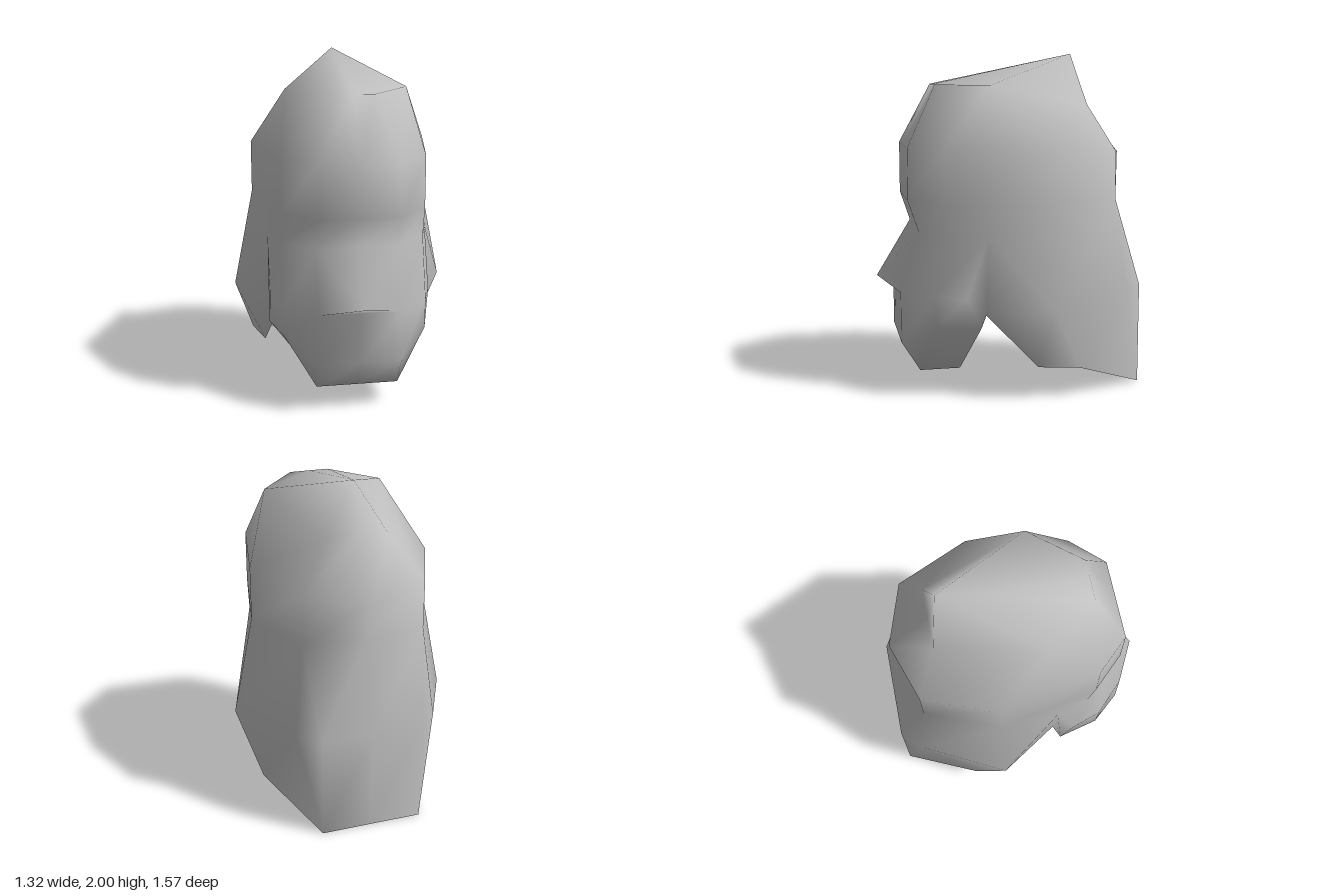
import * as THREE from 'three';

// Corner points of one half (x >= 0) of the helmet shell, row by row from front to back.
const P = {
  // crown
  peak: [0, 2, -0.42],
  a0: [0, 1.82, 0.43], b0: [0.12, 1.82, 0.43], c0: [0.36, 1.82, 0.14], e0: [0.18, 1.7, -0.48], f0: [0, 1.7, -0.48],
  // brow
  a1: [0, 1.46, 0.61], b1: [0.24, 1.46, 0.61], c1: [0.42, 1.46, 0.42], d1: [0.54, 1.46, -0.18], e1: [0.36, 1.43, -0.61], f1: [0, 1.4, -0.73],
  // below the brow
  a2: [0, 1.15, 0.61], b2: [0.24, 1.15, 0.61], c2: [0.42, 1.15, 0.42], d2: [0.54, 1.15, -0.18], e2: [0.36, 1.15, -0.61], f2: [0, 1.15, -0.66],
  // top of the mouth guard
  a3: [0, 0.97, 0.55], b3: [0.24, 0.97, 0.55], c3: [0.42, 0.97, 0.38], d3: [0.48, 0.97, 0.18],
  // mouth guard
  tip: [0, 0.67, 0.78], a4: [0, 0.61, 0.66], b4: [0.24, 0.61, 0.66], c4: [0.42, 0.61, 0.48], d4: [0.48, 0.61, 0.3],
  a5: [0, 0.31, 0.66], b5: [0.24, 0.31, 0.66], c5: [0.42, 0.43, 0.47], d5: [0.48, 0.43, 0.22],
  // chin
  a6: [0, 0.13, 0.55], b6: [0.24, 0.13, 0.55], c6: [0.24, 0.13, 0.31], d6: [0, 0.13, 0.31],
  // neck guard
  notch: [0.42, 0.49, 0.18], wing: [0.66, 0.55, -0.18], g: [0.48, 0.18, -0.12], h: [0.54, 0.18, -0.36],
  e4: [0.42, 0.61, -0.67], k4: [0.3, 0.61, -0.79], f4: [0, 0.61, -0.79], k5: [0.3, 0, -0.79], f5: [0, 0, -0.79],
};

// Faces of one half, each listed clockwise as seen from outside.
const FACES = [
  // crown
  'peak c0 b0 a0', 'peak e0 c0', 'peak f0 e0',
  'a0 b0 b1 a1', 'b0 c0 c1 b1', 'c0 d1 c1', 'c0 e0 e1 d1', 'e0 f0 f1 e1',
  // brow band
  'a1 b1 b2 a2', 'b1 c1 c2 b2', 'c1 d1 d2 c2', 'd1 e1 e2 d2', 'e1 f1 f2 e2',
  // face below the brow
  'a2 b2 b3 a3', 'b2 c2 c3 b3', 'c2 d2 d3 c3',
  // beak
  'a3 b3 tip', 'b3 b4 tip', 'tip b4 a4',
  // mouth guard and chin
  'b3 c3 c4 b4', 'c3 d3 d4 c4', 'a4 b4 b5 a5', 'b4 c4 c5 b5', 'c4 d4 d5 c5', 'd3 notch d5 d4',
  'a5 b5 b6 a6', 'b5 c5 b6', 'c5 d5 c6', 'c5 c6 b6', 'a6 b6 c6 d6',
  // neck guard
  'd2 wing d3', 'd3 wing notch', 'notch wing g', 'g wing h', 'h wing e4', 'h e4 k5',
  'd2 e2 e4 wing', 'e2 f2 f4 k4', 'e2 k4 e4', 'e4 k4 k5', 'k4 f4 f5 k5',
];

// Mirrors the half shell across x = 0, sharing the points on the centre line.
function buildShell() {
  const position = [], index = [], ids = {};
  const vertex = (name, side) => {
    const [x, y, z] = P[name];
    const key = x === 0 ? name : name + side;
    if (!(key in ids)) {
      ids[key] = position.length / 3;
      position.push(x * side, y, z);
    }
    return ids[key];
  };
  for (const side of [1, -1]) {
    for (const face of FACES) {
      const v = face.split(' ').map((name) => vertex(name, side));
      if (side === 1) v.reverse();
      for (let i = 1; i < v.length - 1; i++) index.push(v[0], v[i], v[i + 1]);
    }
  }
  const geometry = new THREE.BufferGeometry();
  geometry.setAttribute('position', new THREE.Float32BufferAttribute(position, 3));
  geometry.setIndex(index);
  geometry.computeVertexNormals();
  return geometry;
}

export function createModel() {
  const group = new THREE.Group();
  group.name = 'helmet';
  const grey = new THREE.MeshStandardMaterial({ color: 0xc0c0c0, side: THREE.DoubleSide });
  grey.name = 'light grey';
  const shell = new THREE.Mesh(buildShell(), grey);
  shell.name = 'helmetShell';
  group.add(shell);
  return group;
}
